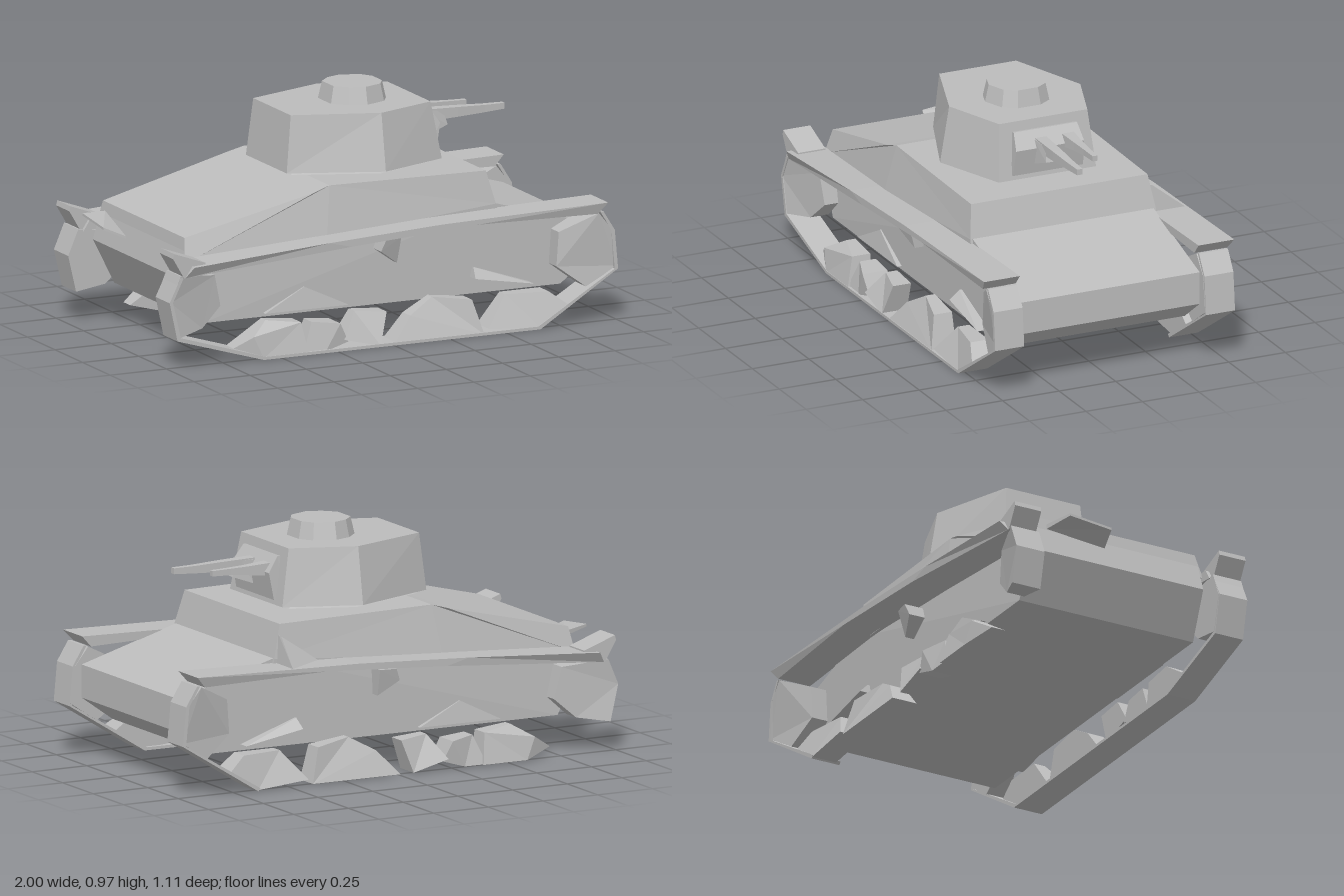
import * as THREE from 'three';

const steel = new THREE.MeshStandardMaterial({ color: 0xbcbcbc, flatShading: true, side: THREE.DoubleSide });
steel.name = 'plain steel grey';

// Skin a run of rings with capped ends; u, v are the axes spanning each ring.
function loft(name, rings, u, v) {
  const flat = (r) => r.map((p) => new THREE.Vector2(p[u], p[v]));
  if (THREE.ShapeUtils.area(flat(rings[0])) < 0) rings = rings.map((r) => [...r].reverse());
  const n = rings[0].length, pos = [];
  const tri = (a, b, c) => pos.push(...a, ...b, ...c);
  for (let k = 0; k + 1 < rings.length; k++) {
    const a = rings[k], b = rings[k + 1];
    for (let i = 0; i < n; i++) {
      const j = (i + 1) % n;
      tri(a[i], a[j], b[j]);
      tri(a[i], b[j], b[i]);
    }
  }
  const first = rings[0], last = rings[rings.length - 1];
  for (const [a, b, c] of THREE.ShapeUtils.triangulateShape(flat(first), [])) tri(first[a], first[c], first[b]);
  for (const [a, b, c] of THREE.ShapeUtils.triangulateShape(flat(last), [])) tri(last[a], last[b], last[c]);
  const geo = new THREE.BufferGeometry();
  geo.setAttribute('position', new THREE.Float32BufferAttribute(pos, 3));
  geo.computeVertexNormals();
  const mesh = new THREE.Mesh(geo, steel);
  mesh.name = name;
  return mesh;
}

// Side profile of [x, y, halfWidth], symmetric across the hull.
const across = (name, pts) => loft(name, [-1, 1].map((s) => pts.map(([x, y, w]) => [x, y, s * w])), 0, 1);

// Side profile of [x, y, outerZ] standing on an inner plane, for one flank.
function flank(name, s, pts, inner, outer) {
  const rings = [pts.map(([x, y]) => [x, y, s * inner]), pts.map(([x, y, z]) => [x, y, s * (z ?? outer)])];
  return loft(name, s > 0 ? rings : rings.reverse(), 0, 1);
}

// Horizontal ring from half an outline of [x, z].
const deckRing = (half, y) => [...half, ...half.map(([x, z]) => [x, -z]).reverse()].map(([x, z]) => [x, y, z]);

// Tapering square barrel along +x.
function barrel(name, z, stations) {
  const ring = ([x, y, r]) => [[x, y - r, z - r], [x, y - r, z + r], [x, y + r, z + r], [x, y + r, z - r]];
  return loft(name, stations.map(ring), 1, 2);
}

export function createModel() {
  const tank = new THREE.Group();
  tank.name = 'tank';

  // Hull tub with sloped nose and tail
  tank.add(across('hull', [
    [-0.79, 0.15, 0.4], [0.8, 0.15, 0.4], [0.94, 0.25, 0.4], [0.94, 0.385, 0.4],
    [0.51, 0.51, 0.4], [-0.86, 0.46, 0.38], [-0.89, 0.34, 0.39],
  ]));

  // Superstructure and sloping engine deck, bulging slightly at mid-length
  tank.add(across('superstructure', [
    [-0.87, 0.4, 0.4], [-0.25, 0.45, 0.43], [0.52, 0.47, 0.41], [0.51, 0.51, 0.41], [0.475, 0.645, 0.39],
    [-0.22, 0.655, 0.39], [-0.29, 0.635, 0.4], [-0.855, 0.5, 0.37],
  ]));

  // Corner gusset between superstructure and right fender
  tank.add(loft('cornerGusset', [
    [[0.28, 0.48, -0.4], [0.5, 0.48, -0.4], [0.5, 0.49, -0.545]],
    [[0.47, 0.6, -0.39], [0.485, 0.6, -0.39], [0.485, 0.6, -0.405]],
  ], 2, 0));

  // Turret neck and six-sided turret
  const neck = [[-0.24, 0.13], [0.06, 0.21], [0.28, 0.15]];
  const neckTop = [[-0.28, 0.16], [0.06, 0.29], [0.32, 0.19]];
  const base = [[-0.31, 0.185], [0.06, 0.33], [0.365, 0.215]];
  const roof = [[-0.285, 0.17], [0.06, 0.29], [0.325, 0.195]];
  tank.add(loft('turretNeck', [deckRing(neckTop, 0.655), deckRing(neck, 0.68)], 2, 0));
  tank.add(loft('turret', [deckRing(base, 0.67), deckRing(roof, 0.903)], 2, 0));

  // Cupola
  const hatch = (k, y) => deckRing([[-0.125, 0.06], [-0.07, 0.115], [0, 0.138], [0.09, 0.105], [0.125, 0.05]]
    .map(([x, z]) => [0.073 + x * k, z * k]), y);
  tank.add(loft('cupola', [hatch(1, 0.9), hatch(0.88, 0.973)], 2, 0));

  // Mantlet plate with gun housing
  tank.add(across('mantlet', [[0.33, 0.69, 0.155], [0.37, 0.69, 0.155], [0.39, 0.8, 0.15], [0.345, 0.865, 0.14], [0.31, 0.86, 0.14]]));
  tank.add(loft('gunHousing', [
    [[0.36, 0.725, 0], [0.36, 0.725, 0.065], [0.36, 0.83, 0.06], [0.36, 0.83, 0]],
    [[0.47, 0.765, 0.005], [0.47, 0.765, 0.055], [0.45, 0.825, 0.05], [0.45, 0.825, 0.01]],
  ], 1, 2));
  tank.add(barrel('mainGun', 0.03, [[0.36, 0.81, 0.025], [0.52, 0.81, 0.02], [0.64, 0.81, 0.015], [0.73, 0.812, 0.012]]));
  tank.add(barrel('machineGun', -0.09, [[0.36, 0.808, 0.027], [0.46, 0.81, 0.018], [0.54, 0.812, 0.013], [0.62, 0.812, 0.011]]));

  // Loose rear plate on the tail
  tank.add(loft('rearPlate', [
    [[-0.99, 0.47, -0.28], [-0.87, 0.45, -0.32], [-0.9, 0.41, -0.07], [-0.99, 0.45, -0.09]],
    [[-0.99, 0.48, -0.28], [-0.87, 0.47, -0.32], [-0.9, 0.42, -0.07], [-0.99, 0.46, -0.09]],
  ], 2, 0));

  // Track band, open at the top; the right side keeps only its nose length
  const trackPath = [[-0.95, 0.38], [-1, 0.28], [-0.965, 0.12], [-0.58, 0.005], [0.65, 0.005], [0.995, 0.22], [0.98, 0.38], [0.93, 0.46]];
  const band = (path) => [...path, ...path.map(([x, y]) => [x * 0.985, y + (y < 0.2 ? 0.012 : 0)]).reverse()];

  // Faceted road wheels
  const wheels = [
    [[-0.71, 0.045, 0.48], [-0.62, 0.1, 0.52], [-0.54, 0.15, 0.46], [-0.4, 0.135, 0.5], [-0.38, 0.01, 0.53], [-0.58, 0.01, 0.53]],
    [[-0.4, 0.01, 0.52], [-0.35, 0.13, 0.49], [-0.24, 0.12, 0.53], [-0.2, 0.04, 0.52], [-0.3, 0.01, 0.52]],
    [[-0.22, 0.05, 0.53], [-0.15, 0.15, 0.47], [-0.02, 0.14, 0.5], [-0.06, 0.01, 0.53]],
    [[0, 0.01, 0.53], [0.09, 0.11, 0.49], [0.2, 0.17, 0.46], [0.36, 0.15, 0.5], [0.4, 0.01, 0.53]],
    [[0.42, 0.03, 0.53], [0.52, 0.15, 0.47], [0.7, 0.15, 0.5], [0.78, 0.09, 0.53], [0.65, 0.01, 0.53]],
  ];

  for (const s of [1, -1]) {
    const side = new THREE.Group();
    side.name = s > 0 ? 'leftRunningGear' : 'rightRunningGear';

    // Fender, rising toward the nose with an undercut tip, and a thin upturned tail flap
    side.add(flank('fender', s, [
      [-0.93, 0.375, 0.53], [-0.2, 0.435], [0.35, 0.468], [0.9, 0.455, 0.54], [0.94, 0.5], [0.2, 0.485], [-0.3, 0.46], [-0.9, 0.42],
    ], 0.395, 0.553));
    side.add(flank('tailFlap', s, [[-0.935, 0.375], [-0.84, 0.4], [-0.84, 0.43], [-0.98, 0.48], [-0.985, 0.46]], 0.41, 0.53));

    side.add(flank('track', s, band(s > 0 ? trackPath : trackPath.slice(4)), 0.402, 0.53));

    // Drive sprocket and rear idler
    side.add(flank('sprocket', s, [
      [0.75, 0.24, 0.47], [0.87, 0.15, 0.5], [0.99, 0.23, 0.52], [0.97, 0.38, 0.53], [0.91, 0.455, 0.53], [0.76, 0.38, 0.47],
    ], 0.4));
    side.add(flank('idler', s, [
      [-0.995, 0.28, 0.53], [-0.96, 0.13, 0.53], [-0.83, 0.15, 0.48], [-0.74, 0.23, 0.46], [-0.77, 0.36, 0.47], [-0.95, 0.385, 0.53],
    ], 0.4));

    wheels.forEach((w, i) => side.add(flank('roadWheel' + (i + 1), s, w, 0.42)));

    // Suspension arms and fender bracket
    side.add(flank('rearArm', s, [[-0.52, 0.165, 0.42], [-0.15, 0.165, 0.42], [-0.34, 0.255, 0.405]], 0.39));
    side.add(flank('frontArm', s, [[0.4, 0.22, 0.45], [0.66, 0.175, 0.45], [0.41, 0.26, 0.41]], 0.39));
    side.add(flank('bracket', s, [[-0.03, 0.38, 0.47], [0.055, 0.32, 0.44], [0.06, 0.43, 0.47], [-0.01, 0.43, 0.48]], 0.39));
    tank.add(side);
  }
  return tank;
}
